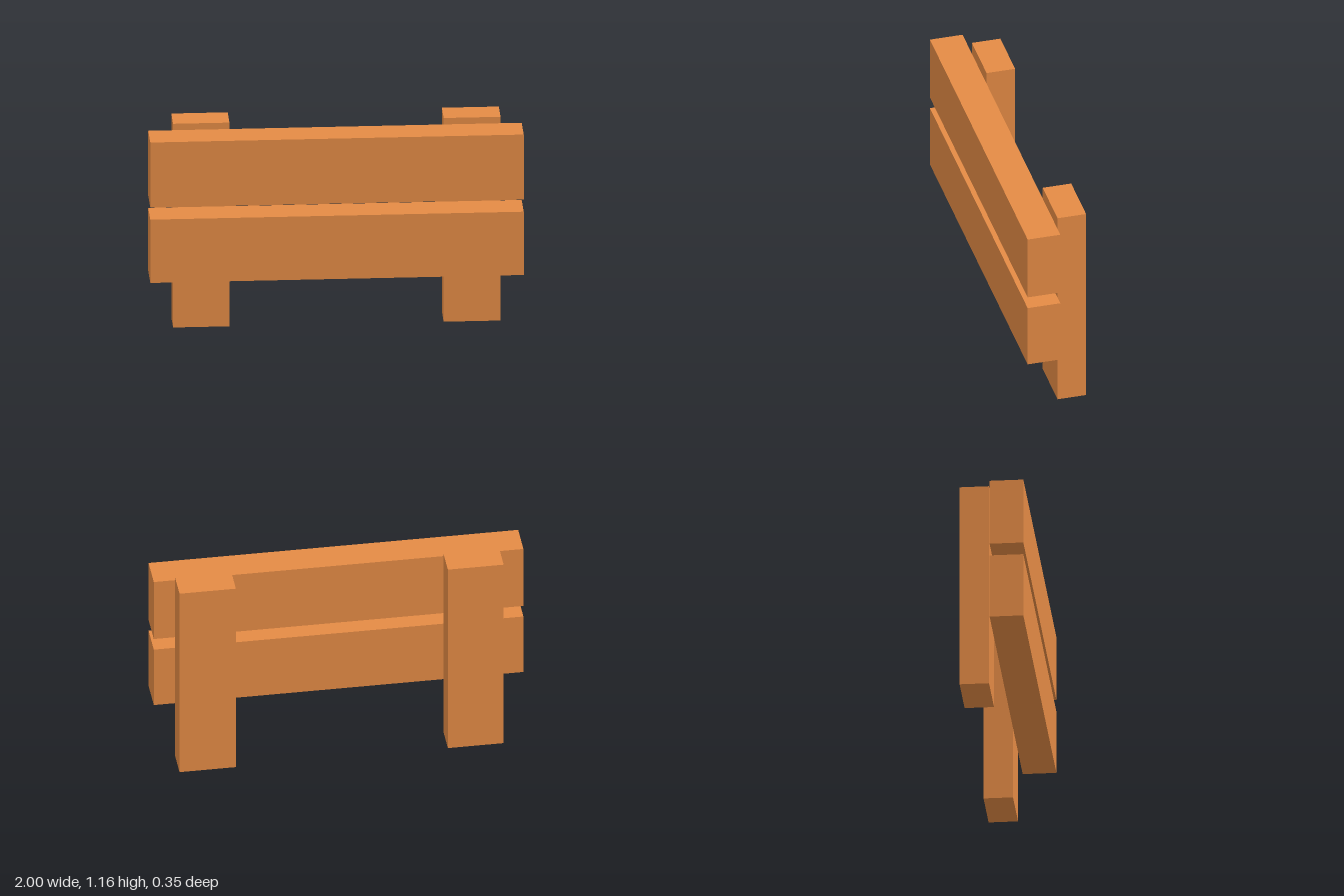
import * as THREE from 'three';

export function createModel() {
  const model = new THREE.Group();
  model.name = 'fence';
  const wood = new THREE.MeshStandardMaterial({ color: 0xe48b45 });
  wood.name = 'wood';

  // Adds a plank spanning the given [min, max] range on each axis
  function plank(name, x, y, z) {
    const size = [x, y, z].map(([a, b]) => b - a);
    const mesh = new THREE.Mesh(new THREE.BoxGeometry(...size), wood);
    mesh.name = name;
    mesh.position.set(...[x, y, z].map(([a, b]) => (a + b) / 2));
    model.add(mesh);
  }

  // Upright posts, standing just behind the rails
  const postY = [0, 1.162], postZ = [-0.177, -0.019];
  plank('rightPost', [-0.866, -0.564], postY, postZ);
  plank('leftPost', [0.583, 0.888], postY, postZ);

  // Horizontal rails
  const railX = [-1, 1], railZ = [-0.004, 0.177];
  plank('lowerRail', railX, [0.33, 0.691], railZ);
  plank('upperRail', railX, [0.76, 1.131], railZ);

  return model;
}
